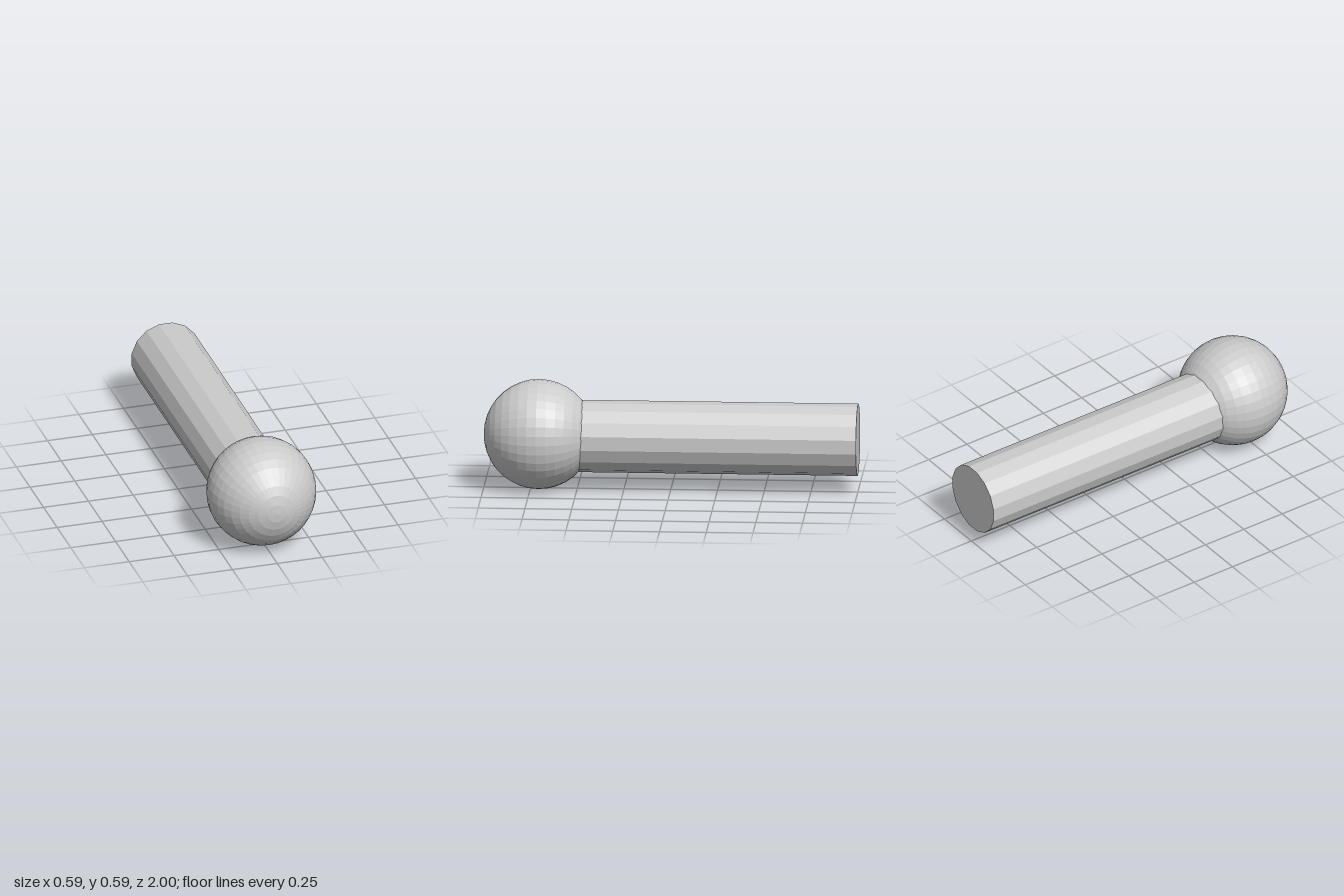
import * as THREE from 'three';

export function createModel() {
  const group = new THREE.Group();
  const material = new THREE.MeshStandardMaterial({ color: 0xcccccc, flatShading: true });

  const add = (name, geometry, x, y, z) => {
    geometry.rotateX(Math.PI / 2); // lay the axis along z
    const mesh = new THREE.Mesh(geometry, material);
    mesh.name = name;
    mesh.position.set(x, y, z);
    group.add(mesh);
  };

  // Ball at the front, poles facing front and back
  const radius = 0.294;
  const ballZ = 1 - radius;
  add('ball', new THREE.SphereGeometry(radius, 36, 18), 0, radius, ballZ);

  // Sixteen-sided handle, slightly off the ball's axis, flats up and sideways
  const length = ballZ + 1;
  const sides = 16;
  add('handle',
    new THREE.CylinderGeometry(0.193, 0.193, length, sides, 1, false, Math.PI / sides),
    -0.015, 0.283, -1 + length / 2);

  return group;
}
